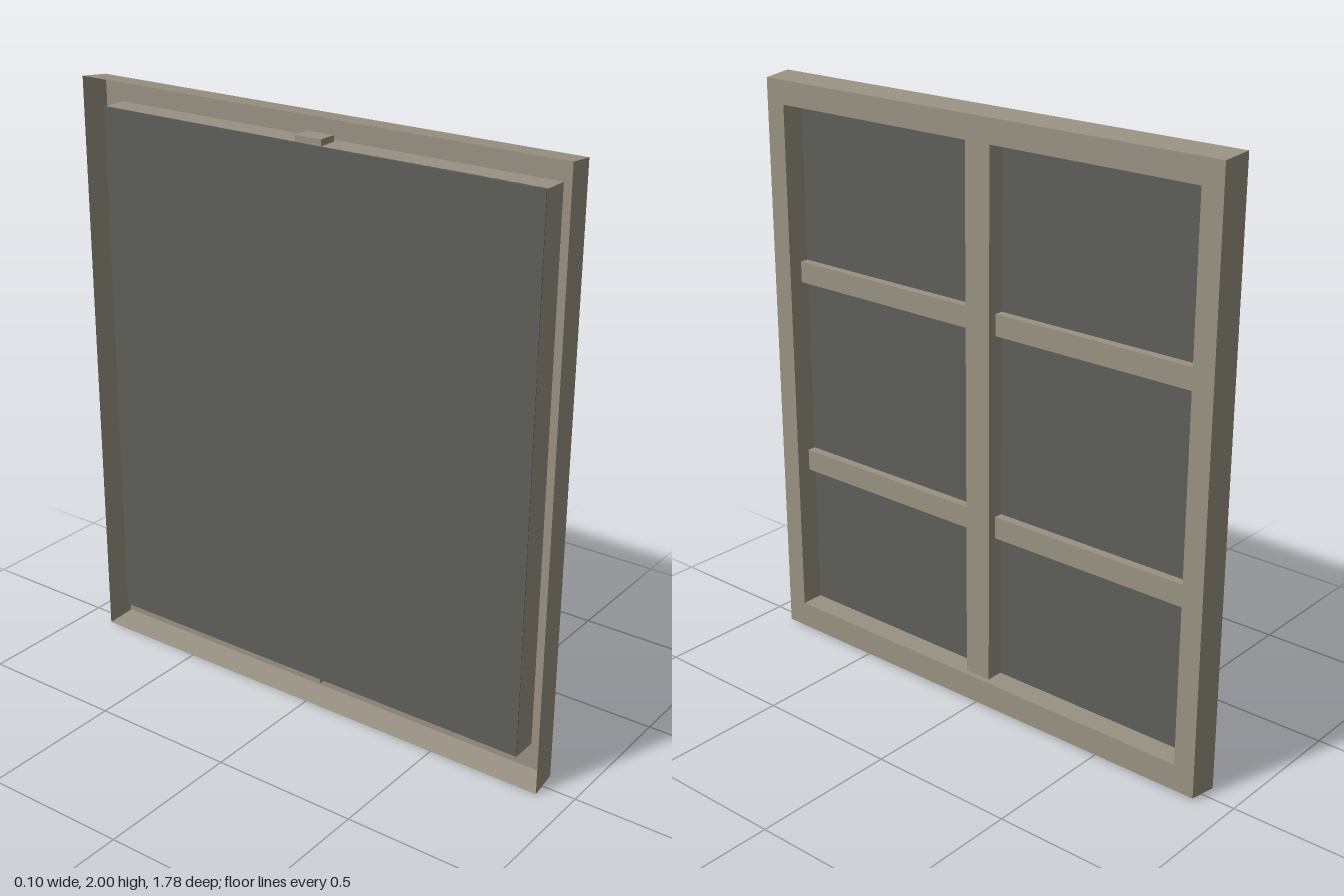
import * as THREE from 'three';

const frameMaterial = new THREE.MeshStandardMaterial({ color: 0x999283, side: THREE.DoubleSide });
frameMaterial.name = 'weathered frame';
const glassMaterial = new THREE.MeshStandardMaterial({ color: 0x5e5e59 });
glassMaterial.name = 'dark glass';

// Open shell through rectangular rings, each given as [x, half width, bottom, top]
function ringShell(rings) {
  const corners = rings.map(([x, w, y0, y1]) => [[x, y0, w], [x, y0, -w], [x, y1, -w], [x, y1, w]]);
  const points = [];
  for (let r = 0; r < rings.length - 1; r++) {
    for (let i = 0; i < 4; i++) {
      const j = (i + 1) % 4;
      const a = corners[r][i], b = corners[r][j], c = corners[r + 1][j], d = corners[r + 1][i];
      points.push(...a, ...b, ...c, ...a, ...c, ...d);
    }
  }
  const geometry = new THREE.BufferGeometry();
  geometry.setAttribute('position', new THREE.Float32BufferAttribute(points, 3));
  geometry.computeVertexNormals();
  return geometry;
}

export function createModel() {
  const group = new THREE.Group();

  const add = (name, geometry, material) => {
    const mesh = new THREE.Mesh(geometry, material);
    mesh.name = name;
    group.add(mesh);
    return mesh;
  };
  // Box given by its lower and upper limits
  const bar = (name, material, x0, x1, y0, y1, z0, z1) =>
    add(name, new THREE.BoxGeometry(x1 - x0, y1 - y0, z1 - z0), material)
      .position.set((x0 + x1) / 2, (y0 + y1) / 2, (z0 + z1) / 2);

  // Outer frame: a slightly tapered channel, hollow and open at the back
  add('outerFrame', ringShell([
    [-0.05, 0.89, 0, 2],
    [0.05, 0.883, 0.01, 1.99],
    [0.05, 0.81, 0.1, 1.91],
    [-0.04, 0.81, 0.1, 1.91],
  ]), frameMaterial);

  // Glass sheet closing the opening
  bar('glass', glassMaterial, -0.042, -0.03, 0.1, 1.91, -0.81, 0.81);

  // Upright mullion, reaching a little into the hollow frame
  bar('mullion', frameMaterial, -0.035, 0.03, 0.08, 1.93, -0.048, 0.048);

  // Shallower crossbars on both sides of the mullion
  for (const [y0, y1] of [[0.61, 0.685], [1.3, 1.372]]) {
    for (const side of [-1, 1]) {
      const z = [side * 0.048, side * 0.81].sort((a, b) => a - b);
      bar('crossbar', frameMaterial, -0.035, 0.0, y0, y1, z[0], z[1]);
    }
  }
  return group;
}
